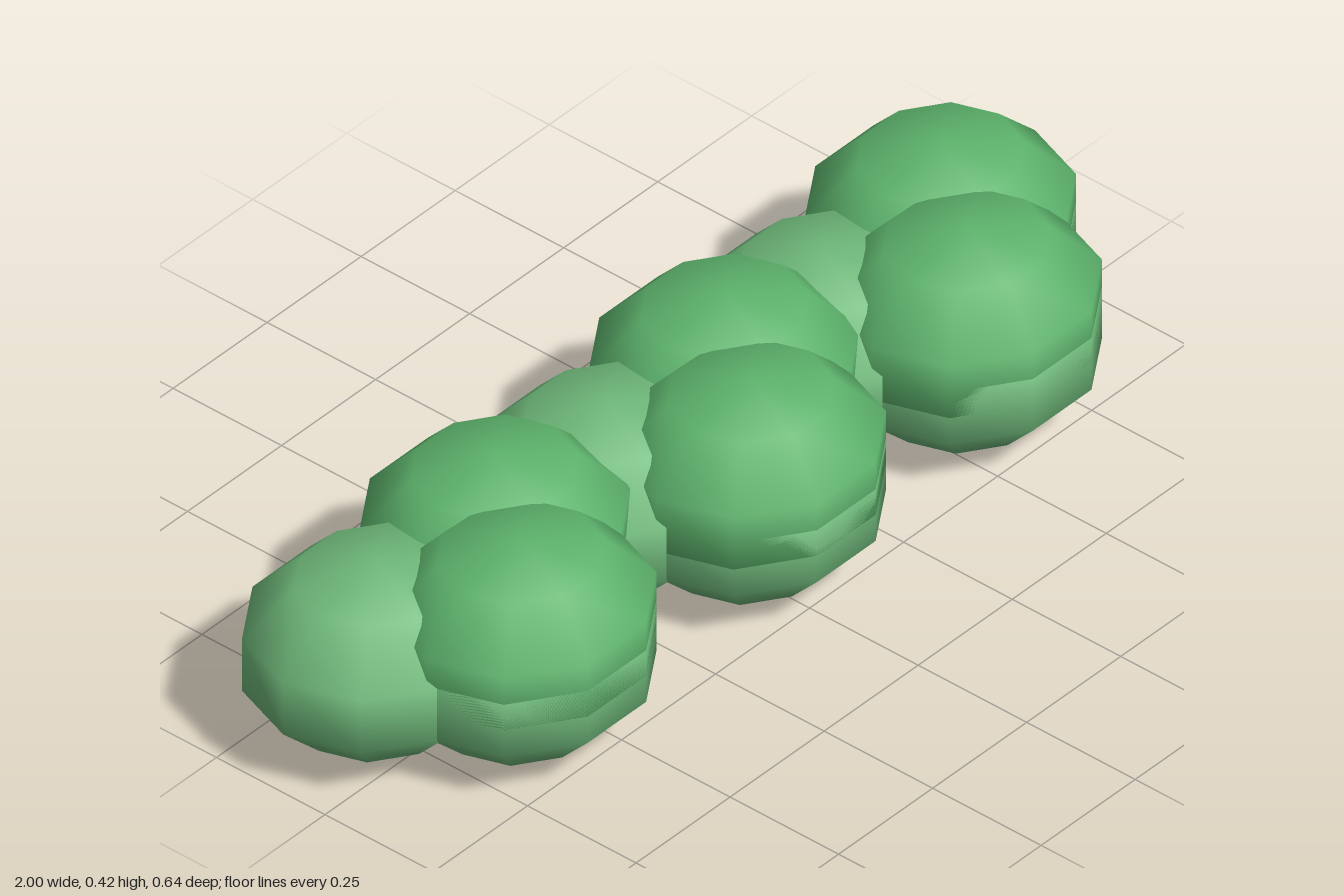
import * as THREE from 'three';

export function createModel() {
  const model = new THREE.Group();
  model.name = 'hedge';

  const lowerLeaf = new THREE.MeshStandardMaterial({ color: 0x6fb97a });
  const upperLeaf = new THREE.MeshStandardMaterial({ color: 0x5db36c });

  // One low-sided, smoothly shaded, flattened ball shared by every clump
  const ball = new THREE.SphereGeometry(1, 10, 5).scale(0.264, 0.183, 0.2445);

  function addBall(parent, name, material, y) {
    const mesh = new THREE.Mesh(ball, material);
    mesh.name = name;
    mesh.position.y = y;
    parent.add(mesh);
  }

  function addClump(name, x, z, tall) {
    const clump = new THREE.Group();
    clump.name = name;
    clump.position.set(x, 0, z);
    addBall(clump, 'lowerFoliage', lowerLeaf, 0.183);
    // Tall clumps carry a second, darker ball slightly higher
    if (tall) addBall(clump, 'upperFoliage', upperLeaf, 0.24);
    model.add(clump);
  }

  // Three bushes in a row, each of one front clump and two back clumps
  [-0.592, 0.018, 0.592].forEach((x) => {
    addClump('frontClump', x, 0.098, true);
    addClump('tallBackClump', x + 0.156, -0.097, true);
    addClump('lowBackClump', x - 0.156, -0.097, false);
  });

  return model;
}
